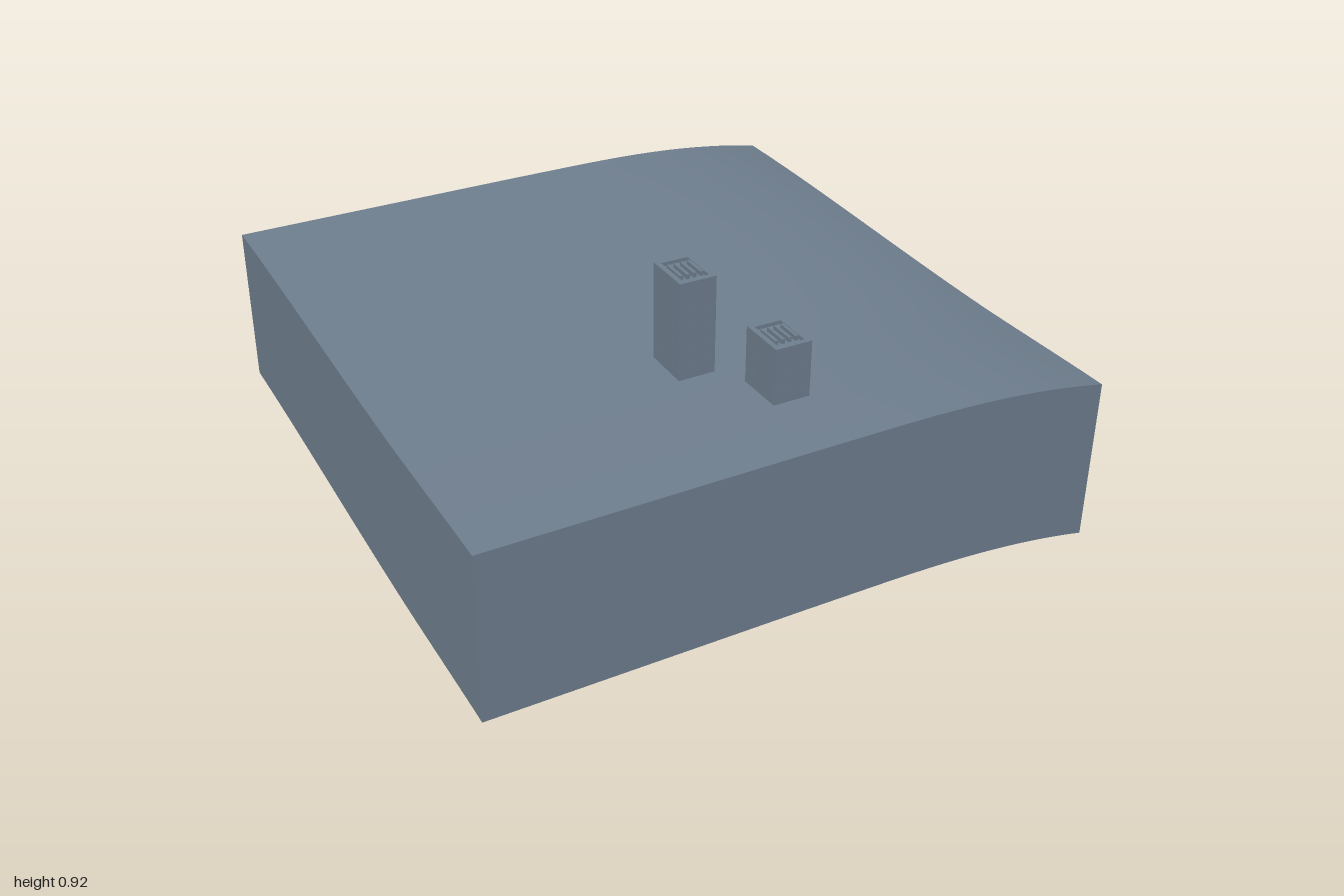
import * as THREE from 'three';

const DEPTH = 0.534; // height of the side walls

// Gently rolling ground: rises to the back, falls away at the +x edge
function groundHeight(x, z) {
  const rise = 0.03 * THREE.MathUtils.smoothstep(-z, -0.5, 0.9);
  const lip = 0.006 * THREE.MathUtils.smoothstep(z, 0.4, 1);
  const fall = 0.067 * Math.pow(Math.max(0, (x - 0.2) / 0.8), 2.6);
  const dip = 0.005 * Math.max(0, -x);
  return 0.602 + rise + lip - fall - dip;
}

export function createModel() {
  const model = new THREE.Group();
  const slate = new THREE.MeshStandardMaterial({ color: 0x708090, side: THREE.DoubleSide });
  slate.name = 'slate';

  const add = (parent, geometry, name, x = 0, y = 0, z = 0) => {
    const mesh = new THREE.Mesh(geometry, slate);
    mesh.name = name;
    mesh.position.set(x, y, z);
    parent.add(mesh);
    return mesh;
  };

  // Ground surface
  const ground = new THREE.PlaneGeometry(2, 2, 40, 40).rotateX(-Math.PI / 2);
  const gp = ground.attributes.position;
  for (let i = 0; i < gp.count; i++) gp.setY(i, groundHeight(gp.getX(i), gp.getZ(i)));
  ground.computeVertexNormals();
  add(model, ground, 'ground');

  // Four open-bottomed walls whose lower edges follow the ground
  ['frontWall', 'leftWall', 'backWall', 'rightWall'].forEach((name, k) => {
    const wall = new THREE.PlaneGeometry(2, 1, 40, 1).translate(0, 0, 1).rotateY((k * Math.PI) / 2);
    const p = wall.attributes.position;
    for (let i = 0; i < p.count; i++) {
      const top = groundHeight(p.getX(i), p.getZ(i));
      p.setY(i, p.getY(i) > 0 ? top : top - DEPTH);
    }
    add(model, wall, name);
  });

  // Tower: solid shaft, parapet around a sunken roof, roof slats, small windows
  const W = 0.118, D = 0.158, RIM = 0.016, SUNK = 0.012, BASE = 0.597;
  function addTower(name, x, z, top) {
    const tower = new THREE.Group();
    tower.name = name;
    tower.position.set(x, BASE, z);
    model.add(tower);
    const h = top - BASE;
    add(tower, new THREE.BoxGeometry(W, h - SUNK, D), 'shaft', 0, (h - SUNK) / 2, 0);

    const rim = new THREE.Shape();
    rim.moveTo(-W / 2, -D / 2).lineTo(W / 2, -D / 2).lineTo(W / 2, D / 2).lineTo(-W / 2, D / 2);
    const a = W / 2 - RIM, b = D / 2 - RIM;
    const hole = new THREE.Path();
    hole.moveTo(-a, -b).lineTo(-a, b).lineTo(a, b).lineTo(a, -b);
    rim.holes.push(hole);
    const parapet = new THREE.ExtrudeGeometry(rim, { depth: SUNK, bevelEnabled: false });
    add(tower, parapet.rotateX(-Math.PI / 2), 'parapet', 0, h - SUNK, 0);

    for (let i = 0; i < 4; i++) {
      add(tower, new THREE.BoxGeometry(0.01, SUNK + 0.003, 0.08), 'roofSlat',
        -0.033 + i * 0.022, h - SUNK / 2 + 0.0015, 0);
    }

    for (let y = 0.05; y < h - 0.03; y += 0.06) {
      for (const s of [-1, 1]) {
        for (const t of [-1, 1]) {
          add(tower, new THREE.BoxGeometry(0.006, 0.008, 0.002), 'window', t * 0.028, y, s * D / 2);
          add(tower, new THREE.BoxGeometry(0.002, 0.008, 0.006), 'window', s * W / 2, y, t * 0.038);
        }
      }
    }
  }
  addTower('tallTower', -0.086, 0.415, 0.915);
  addTower('shortTower', 0.081, 0.664, 0.785);

  return model;
}
